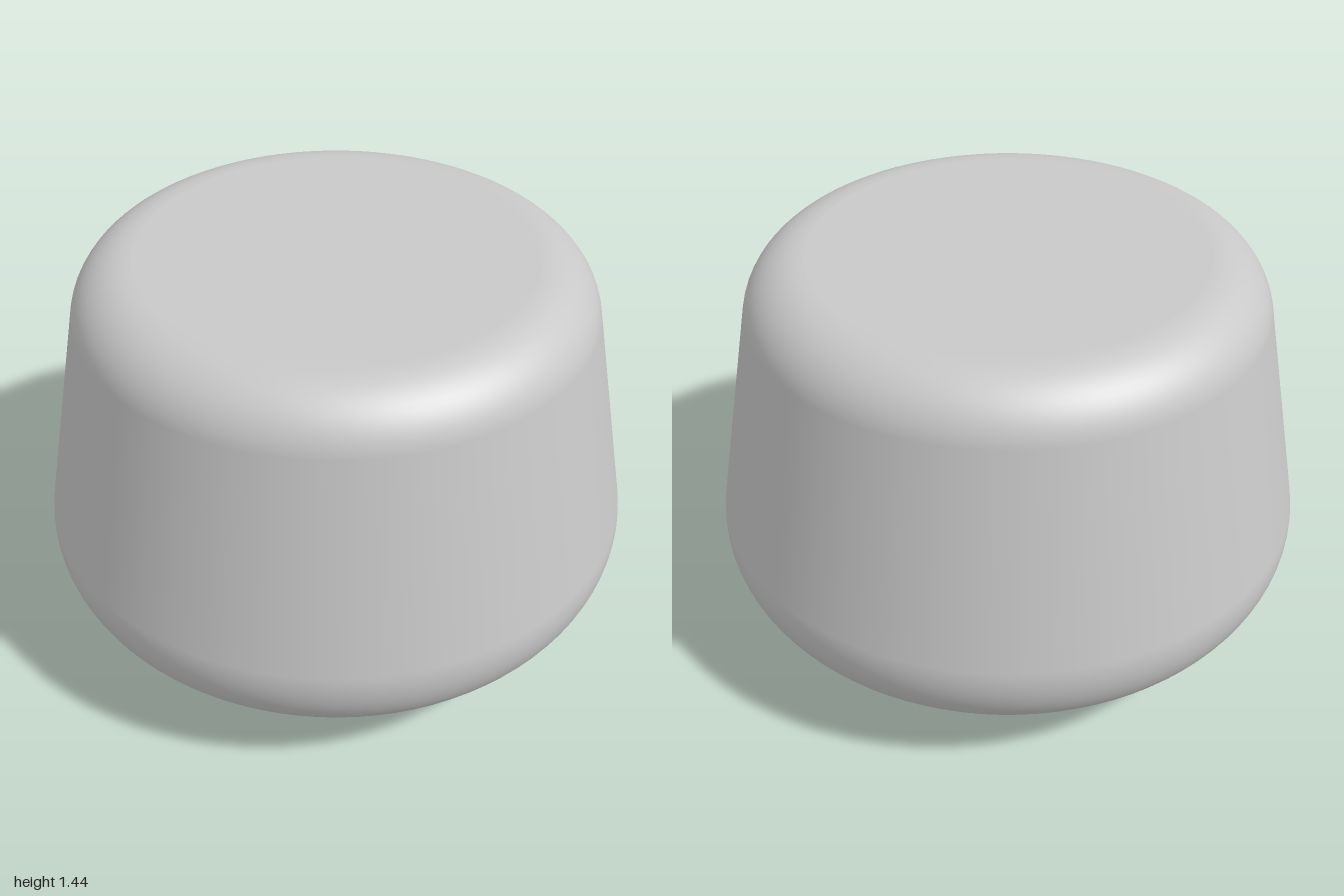
import * as THREE from 'three';

const SEGMENTS = 96;

// Points along a circular arc, angles in degrees
function arc(cx, cy, r, from, to, steps) {
  const points = [];
  for (let i = 0; i <= steps; i++) {
    const a = THREE.MathUtils.degToRad(from + ((to - from) * i) / steps);
    points.push(new THREE.Vector2(cx + r * Math.cos(a), cy + r * Math.sin(a)));
  }
  return points;
}

export function createModel() {
  const group = new THREE.Group();
  group.name = 'knob';
  const grey = new THREE.MeshStandardMaterial({ color: 0xc8c8c8 });
  grey.name = 'light grey';

  const add = (name, geometry) => {
    const mesh = new THREE.Mesh(geometry, grey);
    mesh.name = name;
    group.add(mesh);
    return mesh;
  };
  const lathe = (name, points) => add(name, new THREE.LatheGeometry(points, SEGMENTS));
  const v = (x, y) => new THREE.Vector2(x, y);

  // Tapered body: rounded belly, straight side, rounded shoulder
  lathe('body', [
    v(0.72, 0.088),
    v(0.8, 0.163),
    ...arc(0.7, 0.48, 0.3, -47, 10.5, 14),
    ...arc(0.65, 1.23, 0.21, 10.5, 90, 14),
  ]);

  // Flat top face
  const top = add('topFace', new THREE.CircleGeometry(0.65, SEGMENTS));
  top.rotation.x = -Math.PI / 2;
  top.position.y = 1.44;

  // Sloped foot with a fine seam above it
  lathe('foot', [v(0.635, 0), v(0.718, 0.078)]);
  lathe('seam', [v(0.718, 0.078), v(0.712, 0.083), v(0.72, 0.088)]);

  // Flat underside
  const bottom = add('underside', new THREE.CircleGeometry(0.635, SEGMENTS));
  bottom.rotation.x = Math.PI / 2;

  // Small triangular pointer lying on the lower slope at the front
  const triangle = new THREE.Shape([v(-0.07, 0), v(0.07, 0), v(0, 0.11)]);
  const pointer = add('pointer', new THREE.ExtrudeGeometry(triangle, { depth: 0.006, bevelEnabled: false }));
  pointer.position.set(0, 0.152, 0.786);
  pointer.rotation.x = THREE.MathUtils.degToRad(47);

  return group;
}
